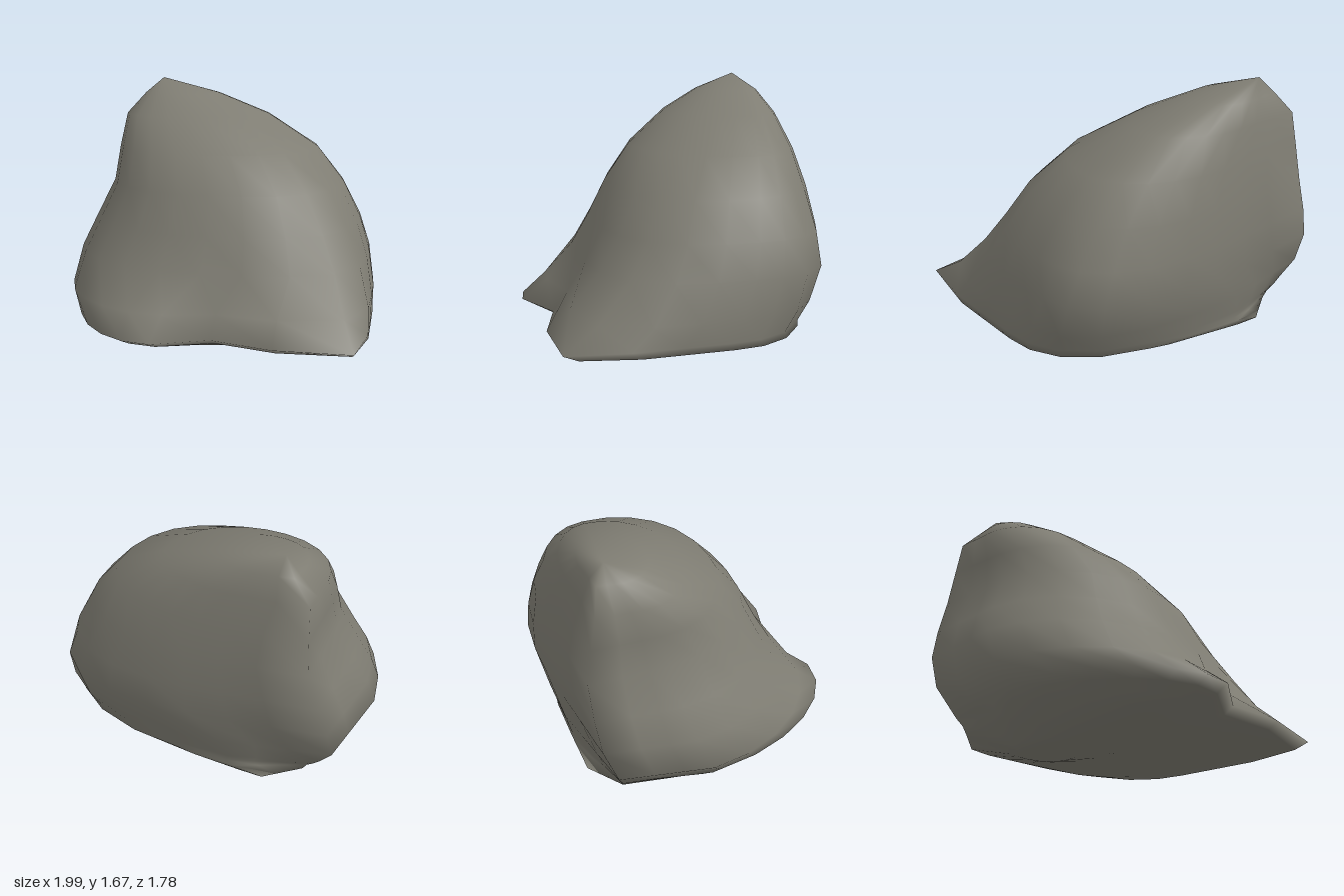
import * as THREE from 'three';

// Horizontal sections of the boulder, bottom to top:
// y, left x, right x, back z, front z, front right sharpness, back left ridge (0.5 flat to 1 square)
const SECTIONS = [
  [0.02, -0.62, -0.2, -0.46, 0.0, 2, 0.7],
  [0.12, -0.76, 0.12, -0.8, 0.5, 2.2, 0.72],
  [0.17, -0.83, 0.74, -0.81, 0.68, 3.5, 0.76],
  [0.21, -0.88, 0.99, -0.82, 0.82, 11, 0.79],
  [0.25, -0.91, 0.99, -0.82, 0.9, 14, 0.81],
  [0.38, -1.0, 0.99, -0.85, 0.74, 6, 0.83],
  [0.6, -0.96, 0.95, -0.89, 0.58, 3.6, 0.88],
  [0.8, -0.87, 0.885, -0.89, 0.47, 2.9, 0.91],
  [1.03, -0.76, 0.77, -0.87, 0.36, 2.5, 0.95],
  [1.25, -0.74, 0.59, -0.83, 0.18, 2.2, 0.95],
  [1.45, -0.725, 0.25, -0.79, -0.1, 2, 0.94],
  [1.58, -0.62, -0.11, -0.74, -0.35, 2, 0.88],
];
const BOTTOM = [-0.5, 0, -0.36];
const PEAK = [-0.52, 1.675, -0.65];
const QUARTER = 6;
const AROUND = QUARTER * 4;

// Smooth bump, 1 at the centre and fading with distance
const bump = (value, centre, width) => Math.exp(-(((value - centre) / width) ** 2));

// Reach of a rounded quarter, and of one made of two straight sides meeting in a ridge
const roundReach = (c, s, n) => (c ** n + s ** n) ** (-1 / n);
const ridgeReach = (c, s, k) => k / (k * Math.max(c, s) + (1 - k) * Math.min(c, s));

// Point on a section whose four quarters have their own reach and shape
function sectionPoint([y, left, right, back, front, frontRight, ridge], i) {
  const angle = (i / AROUND) * Math.PI * 2;
  const c = Math.cos(angle), s = Math.sin(angle);
  const absC = Math.abs(c), absS = Math.abs(s);
  const upper = THREE.MathUtils.smoothstep(y, 0.25, 0.6);
  const r = [
    roundReach(absC, absS, frontRight),
    roundReach(absC, absS, 1.9 + 0.3 * upper),
    ridgeReach(absC, absS, ridge),
    roundReach(absC, absS, 2 + bump(y, 0.55, 0.35)),
  ][Math.floor(i / QUARTER)];
  const midX = THREE.MathUtils.lerp(left, right, 0.35 + 0.15 * upper);
  const midZ = THREE.MathUtils.lerp(back, front, 0.42);
  const x = midX + c * r * (c > 0 ? right - midX : midX - left);
  const z = midZ + s * r * (s > 0 ? front - midZ : midZ - back);
  // Notch in the front rim
  const notch = 0.18 * bump(y, 0.26, 0.14) * bump(x, 0.18, 0.25) * Math.max(s, 0);
  return [x, y, z - notch];
}

function boulderGeometry() {
  const positions = [...BOTTOM];
  for (const section of SECTIONS)
    for (let i = 0; i < AROUND; i++) positions.push(...sectionPoint(section, i));
  positions.push(...PEAK);

  const last = SECTIONS.length - 1;
  const top = positions.length / 3 - 1;
  const at = (j, i) => 1 + j * AROUND + (i % AROUND);
  const index = [];
  for (let i = 0; i < AROUND; i++) {
    index.push(0, at(0, i), at(0, i + 1));
    for (let j = 0; j < last; j++) {
      index.push(at(j, i), at(j + 1, i), at(j + 1, i + 1));
      index.push(at(j, i), at(j + 1, i + 1), at(j, i + 1));
    }
    index.push(at(last, i), top, at(last, i + 1));
  }

  const geometry = new THREE.BufferGeometry();
  geometry.setAttribute('position', new THREE.Float32BufferAttribute(positions, 3));
  geometry.setIndex(index);
  geometry.computeVertexNormals();
  return geometry;
}

export function createModel() {
  const stone = new THREE.MeshStandardMaterial({ color: 0x7f7d73 });
  stone.name = 'stone grey';

  const boulder = new THREE.Mesh(boulderGeometry(), stone);
  boulder.name = 'boulder';

  const model = new THREE.Group();
  model.name = 'rock';
  model.add(boulder);
  return model;
}
